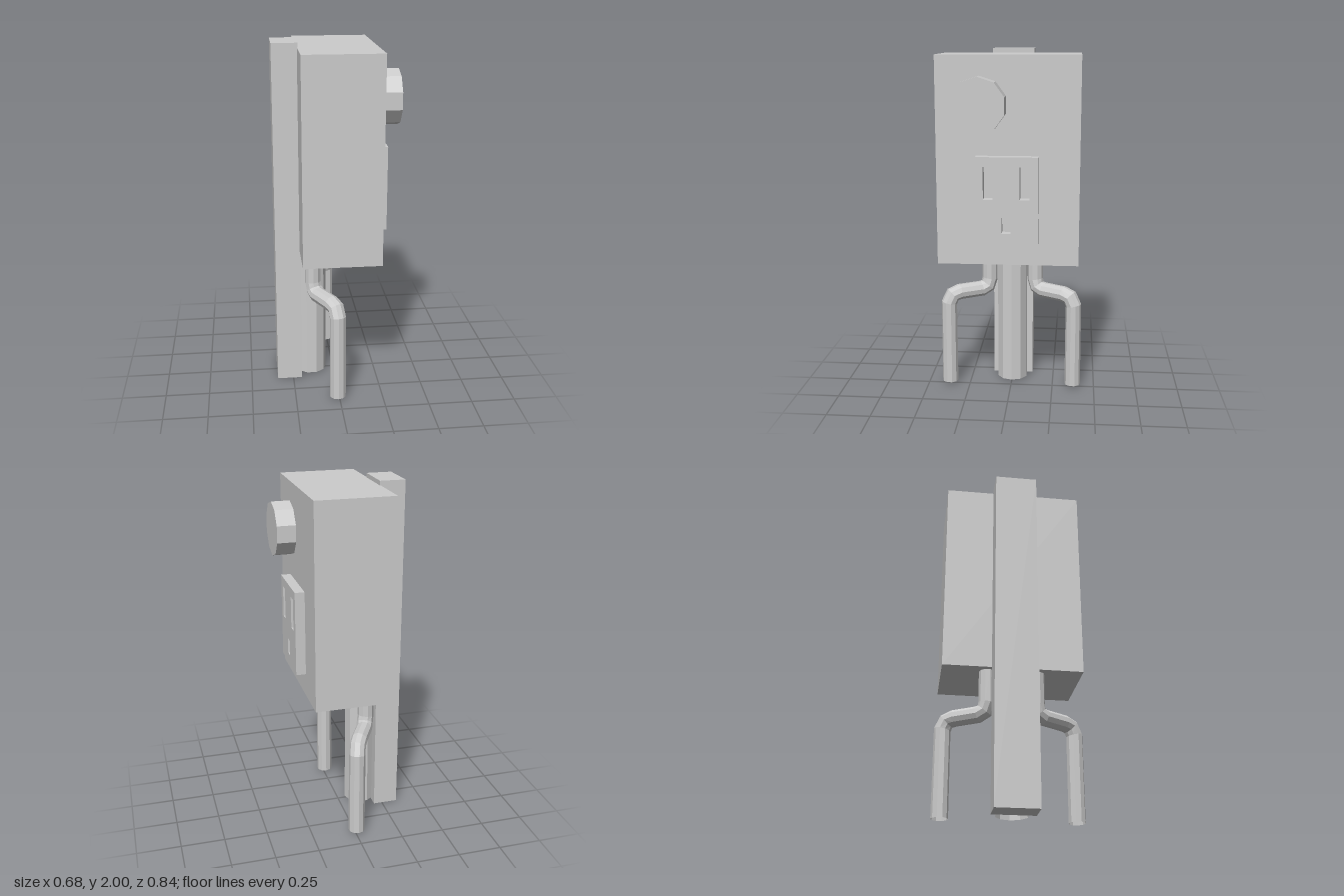
import * as THREE from 'three';

const SIDES = 10;

// Curve that visits every point exactly, with mitred tangents at the bends
class BentPath extends THREE.Curve {
  constructor(points) {
    super();
    this.points = points;
  }
  getPoint(t, target = new THREE.Vector3()) {
    const n = this.points.length - 1;
    const i = Math.min(Math.floor(t * n + 1e-6), n - 1);
    return target.lerpVectors(this.points[i], this.points[i + 1], t * n - i);
  }
  getPointAt(t, target) {
    return this.getPoint(t, target);
  }
  getTangentAt(t, target = new THREE.Vector3()) {
    const p = this.points, n = p.length - 1, i = Math.round(t * n);
    const before = p[Math.max(i, 1)].clone().sub(p[Math.max(i, 1) - 1]).normalize();
    const after = p[Math.min(i, n - 1) + 1].clone().sub(p[Math.min(i, n - 1)]).normalize();
    return target.copy(before).add(after).normalize();
  }
}

export function createModel() {
  const group = new THREE.Group();
  const solid = new THREE.MeshStandardMaterial({ color: 0xcccccc, flatShading: true });
  const open = new THREE.MeshStandardMaterial({ color: 0xcccccc, flatShading: true, side: THREE.DoubleSide });

  const add = (name, geometry, material = solid) => {
    const mesh = new THREE.Mesh(geometry, material);
    mesh.name = name;
    group.add(mesh);
    return mesh;
  };
  const block = (name, x0, x1, y0, y1, z0, z1) =>
    add(name, new THREE.BoxGeometry(x1 - x0, y1 - y0, z1 - z0))
      .position.set((x0 + x1) / 2, (y0 + y1) / 2, (z0 + z1) / 2);

  // Mounting post and the box fixed to it
  block('post', -0.343, -0.199, 0, 2, -0.12, 0.12);
  block('box', -0.204, 0.234, 0.82, 1.975, -0.395, 0.395);

  // Round dial on the box face
  const dial = new THREE.CylinderGeometry(0.153, 0.153, 0.11, SIDES, 1, false, Math.PI / 2);
  dial.rotateZ(-Math.PI / 2);
  add('dial', dial).position.set(0.285, 1.711, 0.154);

  // Outlet plate with three openings, drawn in (-z, y) and extruded towards +x
  const outline = (path, u0, u1, v0, v1) =>
    path.moveTo(u0, v0).lineTo(u1, v0).lineTo(u1, v1).lineTo(u0, v1).closePath();
  const plate = new THREE.Shape();
  outline(plate, -0.174, 0.172, 0.952, 1.434);
  for (const slot of [
    [-0.131, -0.078, 1.2, 1.38],
    [0.07, 0.123, 1.2, 1.38],
    [-0.03, 0.021, 1.01, 1.1],
  ]) {
    const hole = new THREE.Path();
    outline(hole, ...slot);
    plate.holes.push(hole);
  }
  const plateGeometry = new THREE.ExtrudeGeometry(plate, { depth: 0.056, bevelEnabled: false });
  plateGeometry.rotateY(Math.PI / 2);
  add('outletPlate', plateGeometry).position.x = 0.233;

  // Straight conduit running down the post
  add('mainConduit', new THREE.CylinderGeometry(0.091, 0.091, 0.83, SIDES, 1, true, Math.PI / 2), open)
    .position.set(-0.135, 0.425, 0);

  // Bent cables, mirrored front to back
  const bend = [
    [-0.13, 0.84, 0.138], [-0.13, 0.635, 0.138], [-0.122, 0.592, 0.15], [-0.108, 0.573, 0.185],
    [-0.04, 0.57, 0.31], [-0.018, 0.557, 0.35], [-0.01, 0.51, 0.371], [-0.01, 0.014, 0.371],
  ];
  for (const [name, side] of [['frontCable', 1], ['rearCable', -1]]) {
    const path = new BentPath(bend.map(([x, y, z]) => new THREE.Vector3(x, y, z * side)));
    add(name, new THREE.TubeGeometry(path, bend.length - 1, 0.047, SIDES, false), open);
  }

  return group;
}
